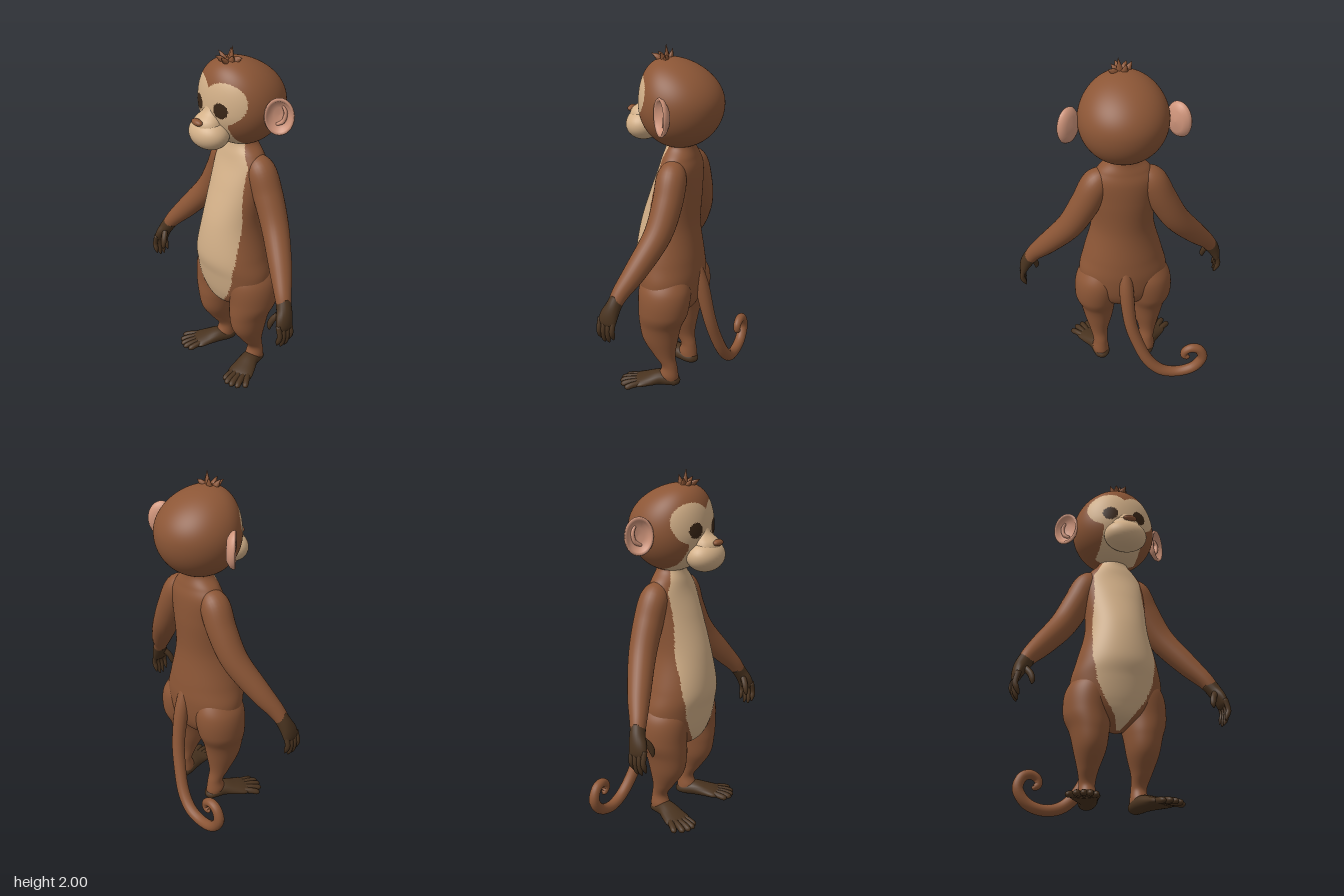
import * as THREE from 'three';
import { mergeVertices } from 'three/addons/utils/BufferGeometryUtils.js';

const material = (name, color, side = THREE.FrontSide) => {
  const m = new THREE.MeshStandardMaterial({ color, side });
  m.name = name;
  return m;
};
const Z = new THREE.Vector3(0, 0, 1), Y = new THREE.Vector3(0, 1, 0);

// Smooth interpolation through rows of numbers
function sample(rows, t) {
  const i = Math.min(Math.floor(t), rows.length - 2), f = t - i;
  const p = rows[Math.max(i - 1, 0)], a = rows[i], b = rows[i + 1], q = rows[Math.min(i + 2, rows.length - 1)];
  return a.map((v, k) => {
    const m0 = (b[k] - p[k]) / 2, m1 = (q[k] - v) / 2, d = b[k] - v;
    return v + f * (m0 + f * (3 * d - 2 * m0 - m1 + f * (m0 + m1 - 2 * d)));
  });
}

// Skin over elliptical stations [x, y, z, r1, r2].
// With ref, rings stand across the path; without, they lie flat (list stations top down).
function skin(stations, { ref = null, sides = 20, steps = 5 } = {}) {
  const rows = stations.map(s => [s[0], s[1], s[2], s[3], s[4] ?? s[3]]);
  const n = (rows.length - 1) * steps, pos = [], index = [];
  const at = i => sample(rows, THREE.MathUtils.clamp(i, 0, n) / steps);
  const vec = r => new THREE.Vector3(r[0], r[1], r[2]);
  for (let i = 0; i <= n; i++) {
    const r = at(i), n1 = new THREE.Vector3(1, 0, 0), n2 = Z.clone();
    if (ref) {
      const t = vec(at(i + 0.5)).sub(vec(at(i - 0.5))).normalize();
      n1.crossVectors(ref, t).normalize();
      n2.crossVectors(t, n1);
    }
    for (let j = 0; j < sides; j++) {
      const a = j / sides * Math.PI * 2;
      const p = vec(r).addScaledVector(n1, Math.max(r[3], 0.001) * Math.cos(a))
        .addScaledVector(n2, Math.max(r[4], 0.001) * Math.sin(a));
      pos.push(p.x, p.y, p.z);
      const k = i * sides + j, l = i * sides + (j + 1) % sides;
      if (i < n) index.push(k, l, k + sides, l, l + sides, k + sides);
    }
  }
  // end caps
  const c = pos.length / 3, last = n * sides;
  pos.push(...rows[0].slice(0, 3), ...rows[rows.length - 1].slice(0, 3));
  for (let j = 0; j < sides; j++) {
    const k = (j + 1) % sides;
    index.push(c, k, j, c + 1, last + j, last + k);
  }
  const g = new THREE.BufferGeometry();
  g.setAttribute('position', new THREE.Float32BufferAttribute(pos, 3));
  g.setIndex(index);
  g.computeVertexNormals();
  return g;
}

// Sort triangles into material groups by a rule on their centre
function paint(g, count, rule) {
  const p = g.attributes.position, ix = g.index.array;
  const buckets = Array.from({ length: count }, () => []);
  for (let i = 0; i < ix.length; i += 3) {
    const t = [ix[i], ix[i + 1], ix[i + 2]];
    const mean = f => (f(t[0]) + f(t[1]) + f(t[2])) / 3;
    buckets[rule(mean(k => p.getX(k)), mean(k => p.getY(k)), mean(k => p.getZ(k)))].push(...t);
  }
  let start = 0;
  buckets.forEach((b, m) => { g.addGroup(start, b.length, m); start += b.length; });
  g.setIndex(buckets.flat());
  return g;
}

// Half width of the pale belly at each height
const bellyEdge = [[0.42, 0.01], [0.5, 0.07], [0.56, 0.115], [0.65, 0.155], [0.8, 0.18], [1, 0.165], [1.2, 0.145], [1.35, 0.138], [1.45, 0.08], [1.53, 0.06]];
function bellyRule(x, y, z) {
  const i = bellyEdge.findIndex(e => e[0] > y);
  if (i < 1 || z < 0) return 0;
  const [y0, w0] = bellyEdge[i - 1], [y1, w1] = bellyEdge[i];
  return Math.abs(x) < w0 + (w1 - w0) * (y - y0) / (y1 - y0) ? 1 : 0;
}

// Fur, pale mask around the eyes, and eyes
function faceRule(x, y, z) {
  const ax = Math.abs(x);
  if (z < 0) return 0;
  if (Math.hypot(ax - 0.088, y - 1.7) < 0.042) return 2;
  const mask = Math.hypot((ax - 0.09) / 0.113, (y - 1.735) / 0.11) < 1;
  return mask || (ax < 0.12 && y < 1.72) ? 1 : 0;
}

export function createModel() {
  const model = new THREE.Group();
  model.name = 'monkey';
  const fur = material('brown fur', 0x8c5636), pale = material('pale skin', 0xd3b088);
  const dark = material('dark skin', 0x49331f), pink = material('pink ear', 0xd1967c);
  const eye = material('eye', 0x3a2616);
  const add = (name, g, m, parent = model) => {
    const mesh = new THREE.Mesh(g, m);
    mesh.name = name;
    parent.add(mesh);
    return mesh;
  };

  // Torso with belly
  add('torso', paint(skin([
    [0, 1.53, -0.03, 0.085, 0.08], [0, 1.46, -0.03, 0.09, 0.08], [0, 1.4, -0.03, 0.145, 0.095],
    [0, 1.33, -0.028, 0.182, 0.113], [0, 1.2, -0.004, 0.18, 0.139], [0, 1, 0.033, 0.18, 0.168],
    [0, 0.8, 0.037, 0.23, 0.192], [0, 0.68, 0.025, 0.258, 0.185], [0, 0.55, 0.02, 0.24, 0.162],
    [0, 0.47, 0.025, 0.15, 0.12], [0, 0.42, 0.03, 0.03, 0.03]], { sides: 120, steps: 12 }), 2, bellyRule), [fur, pale]);

  // Head: sphere, shallower in front, crown leaning forward
  const ball = new THREE.SphereGeometry(1, 160, 110);
  ball.deleteAttribute('uv');
  ball.deleteAttribute('normal');
  const head = mergeVertices(ball), hp = head.attributes.position;
  for (let i = 0; i < hp.count; i++) {
    const x = hp.getX(i), y = hp.getY(i), z = hp.getZ(i);
    hp.setXYZ(i, x * 0.243, 1.69 + y * 0.242, -0.02 + z * (z > 0 ? 0.22 : 0.245) + (y > 0 ? 0.06 * y * y : 0));
  }
  head.computeVertexNormals();
  add('head', paint(head, 3, faceRule), [fur, pale, eye]);

  // Muzzle, bridge and nose
  const muzzle = add('muzzle', new THREE.SphereGeometry(1, 36, 24), pale);
  muzzle.position.set(0, 1.555, 0.19);
  muzzle.scale.set(0.125, 0.088, 0.1);
  add('noseBridge', skin([[0, 1.75, 0.17, 0.02, 0.015], [0, 1.68, 0.175, 0.045, 0.036],
    [0, 1.63, 0.195, 0.08, 0.07], [0, 1.56, 0.19, 0.1, 0.08]]), pale);
  const nose = add('nose', new THREE.SphereGeometry(1, 20, 12), fur);
  nose.position.set(0, 1.632, 0.266);
  nose.scale.set(0.04, 0.018, 0.022);

  // Hair tuft
  const tuft = new THREE.Group();
  tuft.name = 'hairTuft';
  model.add(tuft);
  for (const [x, y, z] of [[0.02, 2, 0.05], [-0.055, 1.965, 0.08], [0.055, 1.96, 0.07], [-0.02, 1.975, 0.03],
    [0.03, 1.95, 0.13], [-0.03, 1.95, 0.12], [0.075, 1.945, 0.03]]) {
    add('hairLock', skin([[x * 0.4, 1.9, 0.05 + z * 0.2, 0.024, 0.016], [x * 0.6, 1.93, 0.02 + z * 0.6, 0.02, 0.014],
      [x, y, z, 0.001]], { ref: Z, sides: 8, steps: 3 }), fur, tuft);
  }

  // Tail ending in a curl
  add('tail', skin([[0, 0.75, -0.12, 0.035], [-0.003, 0.62, -0.16, 0.042], [-0.02, 0.42, -0.2, 0.038],
    [-0.06, 0.28, -0.225, 0.036], [-0.12, 0.15, -0.25, 0.035], [-0.2, 0.066, -0.262, 0.034],
    [-0.3, 0.037, -0.262, 0.032], [-0.4, 0.065, -0.265, 0.032], [-0.455, 0.14, -0.265, 0.031],
    [-0.435, 0.208, -0.265, 0.029], [-0.388, 0.228, -0.265, 0.027], [-0.348, 0.208, -0.265, 0.024],
    [-0.342, 0.175, -0.265, 0.021], [-0.365, 0.158, -0.265, 0.017], [-0.378, 0.162, -0.265, 0.002]], { ref: Z, sides: 16 }), fur);

  // Cupped ear profile, turned around its facing axis
  const earShape = new THREE.LatheGeometry([[0, -0.028], [0.06, -0.024], [0.09, -0.006], [0.101, 0.012], [0.095, 0.022],
    [0.082, 0.016], [0.07, -0.002], [0.04, -0.012], [0, -0.014]].map(p => new THREE.Vector2(...p)), 36).rotateX(Math.PI / 2);

  for (const s of [1, -1]) {
    const side = s > 0 ? 'left' : 'right';
    const flip = rows => rows.map(([x, ...rest]) => [s * x, ...rest]);
    const limb = (name, rows, m, options, parent) => add(side + name, skin(flip(rows), options), m, parent);

    // Ear with an inner fold
    const ear = new THREE.Group();
    ear.name = side + 'Ear';
    ear.position.set(s * 0.283, 1.68, -0.048);
    ear.rotation.y = s * Math.PI / 4;
    ear.scale.set(0.78, 1.03, 1);
    model.add(ear);
    add('earCup', earShape, pink, ear);
    add('earFold', skin(flip([[0.02, 0.05, -0.01, 0.008], [0.04, 0.015, -0.004, 0.013], [0.025, -0.03, -0.004, 0.013],
      [-0.02, -0.05, -0.01, 0.008]]), { ref: Z, sides: 8 }), pink, ear);

    // Leg
    add(side + 'Leg', paint(skin(flip([[0.12, 0.76, 0.015, 0.07, 0.1], [0.145, 0.64, 0.008, 0.13, 0.15],
      [0.16, 0.5, 0.012, 0.128, 0.146], [0.153, 0.4, 0.033, 0.105, 0.125], [0.15, 0.3, 0.035, 0.085, 0.105],
      [0.15, 0.2, 0.01, 0.055, 0.065], [0.145, 0.13, -0.018, 0.043, 0.047], [0.145, 0.07, -0.015, 0.05, 0.058],
      [0.14, 0.03, -0.02, 0.046, 0.053]]), { sides: 64, steps: 10 }), 2, bellyRule), [fur, pale]);

    // Foot and toes
    const foot = new THREE.Group();
    foot.name = side + 'Foot';
    model.add(foot);
    limb('Sole', [[0.133, 0.025, -0.08, 0.015, 0.012], [0.136, 0.03, -0.06, 0.04, 0.028], [0.142, 0.04, -0.02, 0.052, 0.04],
      [0.158, 0.046, 0.035, 0.056, 0.044], [0.188, 0.036, 0.1, 0.07, 0.034], [0.21, 0.027, 0.15, 0.078, 0.025],
      [0.222, 0.022, 0.18, 0.06, 0.015]], dark, { ref: Y }, foot);
    [[0.16, 0.13, 0.18, 0.25], [0.188, 0.15, 0.215, 0.262], [0.212, 0.15, 0.25, 0.255], [0.235, 0.14, 0.285, 0.235],
      [0.25, 0.12, 0.315, 0.195]].forEach(([x0, z0, x1, z1]) => {
      const mid = f => [x0 + (x1 - x0) * f, z0 + (z1 - z0) * f];
      const [mx, mz] = mid(0.5), [ex, ez] = mid(0.88);
      limb('Toe', [[x0, 0.03, z0, 0.018], [mx, 0.027, mz, 0.018], [ex, 0.018, ez, 0.017, 0.016],
        [x1, 0.013, z1, 0.004]], dark, { ref: Y, sides: 12, steps: 4 }, foot);
    });

    // Arm
    limb('Arm', [[0.09, 1.36, -0.04, 0.05], [0.15, 1.315, -0.04, 0.082], [0.213, 1.19, -0.042, 0.083],
      [0.302, 1.03, -0.022, 0.076], [0.43, 0.865, 0.045, 0.063], [0.51, 0.765, 0.095, 0.048],
      [0.545, 0.71, 0.115, 0.04]], fur, { ref: Z, sides: 28, steps: 7 });

    // Hand, fingers and thumb
    const hand = new THREE.Group();
    hand.name = side + 'Hand';
    model.add(hand);
    limb('Palm', [[0.53, 0.735, 0.108, 0.044, 0.04], [0.557, 0.69, 0.122, 0.04, 0.044], [0.578, 0.645, 0.138, 0.032, 0.052],
      [0.59, 0.605, 0.145, 0.022, 0.05], [0.594, 0.585, 0.147, 0.008, 0.03]], dark, { ref: Z }, hand);
    for (let i = 0; i < 4; i++) {
      const z = 0.108 + i * 0.026, tip = 0.485 + (i === 0 || i === 3 ? 0.02 : 0);
      limb('Finger', [[0.585, 0.63, z, 0.015], [0.601, 0.57, z + 0.002, 0.015], [0.592, tip + 0.03, z + 0.004, 0.014],
        [0.58, tip, z + 0.004, 0.004]], dark, { ref: Z, sides: 10, steps: 4 }, hand);
    }
    limb('Thumb', [[0.55, 0.68, 0.14, 0.018], [0.522, 0.635, 0.172, 0.018], [0.512, 0.595, 0.185, 0.015],
      [0.515, 0.57, 0.188, 0.004]], dark, { ref: Z, sides: 10, steps: 4 }, hand);
  }
  return model;
}
